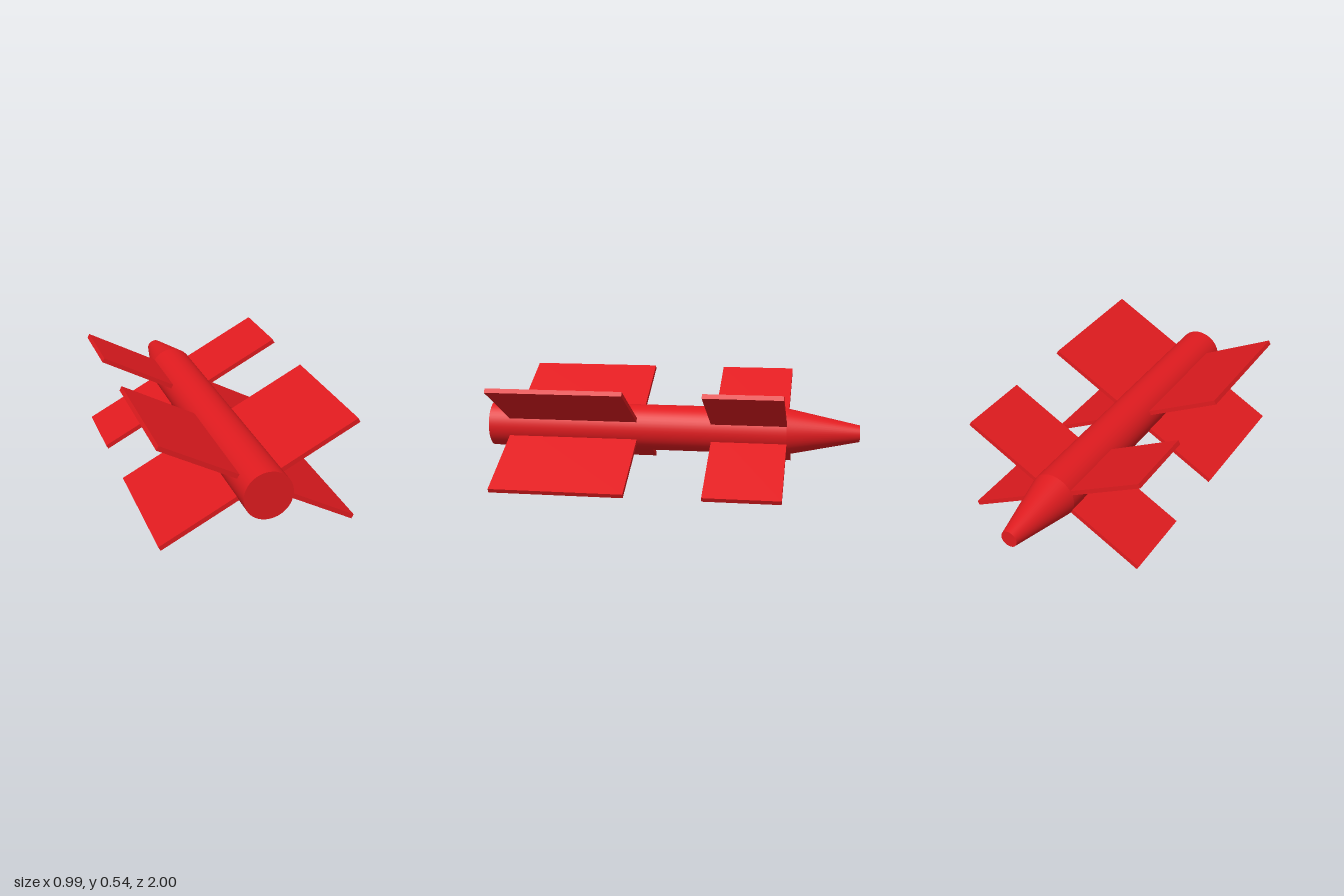
import * as THREE from 'three';

const CENTER_Y = 0.273;
const RADIUS = 0.123;
const TIP_RADIUS = 0.044;
const SHOULDER_Z = -0.62;
const FIN_ANGLE = THREE.MathUtils.degToRad(28);

export function createModel() {
  const group = new THREE.Group();
  const red = new THREE.MeshStandardMaterial({ color: 0xe01b1f });

  const add = (name, geometry, z) => {
    const mesh = new THREE.Mesh(geometry, red);
    mesh.name = name;
    mesh.position.set(0, CENTER_Y, z);
    group.add(mesh);
    return mesh;
  };

  // Round section along z, from a front radius to a back radius
  const section = (name, frontRadius, backRadius, zFront, zBack) => {
    const geometry = new THREE.CylinderGeometry(frontRadius, backRadius, zFront - zBack, 48);
    geometry.rotateX(Math.PI / 2);
    return add(name, geometry, (zFront + zBack) / 2);
  };
  section('body', RADIUS, RADIUS, 1, SHOULDER_Z);
  section('taperedNose', RADIUS, TIP_RADIUS, SHOULDER_Z, -1);

  // Two crossed sets of flat fins, each panel reaching out from the body axis
  const finSets = [
    { name: 'longFin', zFront: 0.885, zBack: 0.178 },
    { name: 'shortFin', zFront: -0.222, zBack: -0.621 },
  ];
  const span = 0.556;
  for (const { name, zFront, zBack } of finSets) {
    for (const side of [1, -1]) {
      for (const lift of [1, -1]) {
        const geometry = new THREE.BoxGeometry(span, 0.024, zFront - zBack);
        geometry.translate((side * span) / 2, 0, 0);
        const label = `${name}${lift > 0 ? 'Upper' : 'Lower'}${side > 0 ? 'Left' : 'Right'}`;
        add(label, geometry, (zFront + zBack) / 2).rotation.z = side * lift * FIN_ANGLE;
      }
    }
  }
  return group;
}
